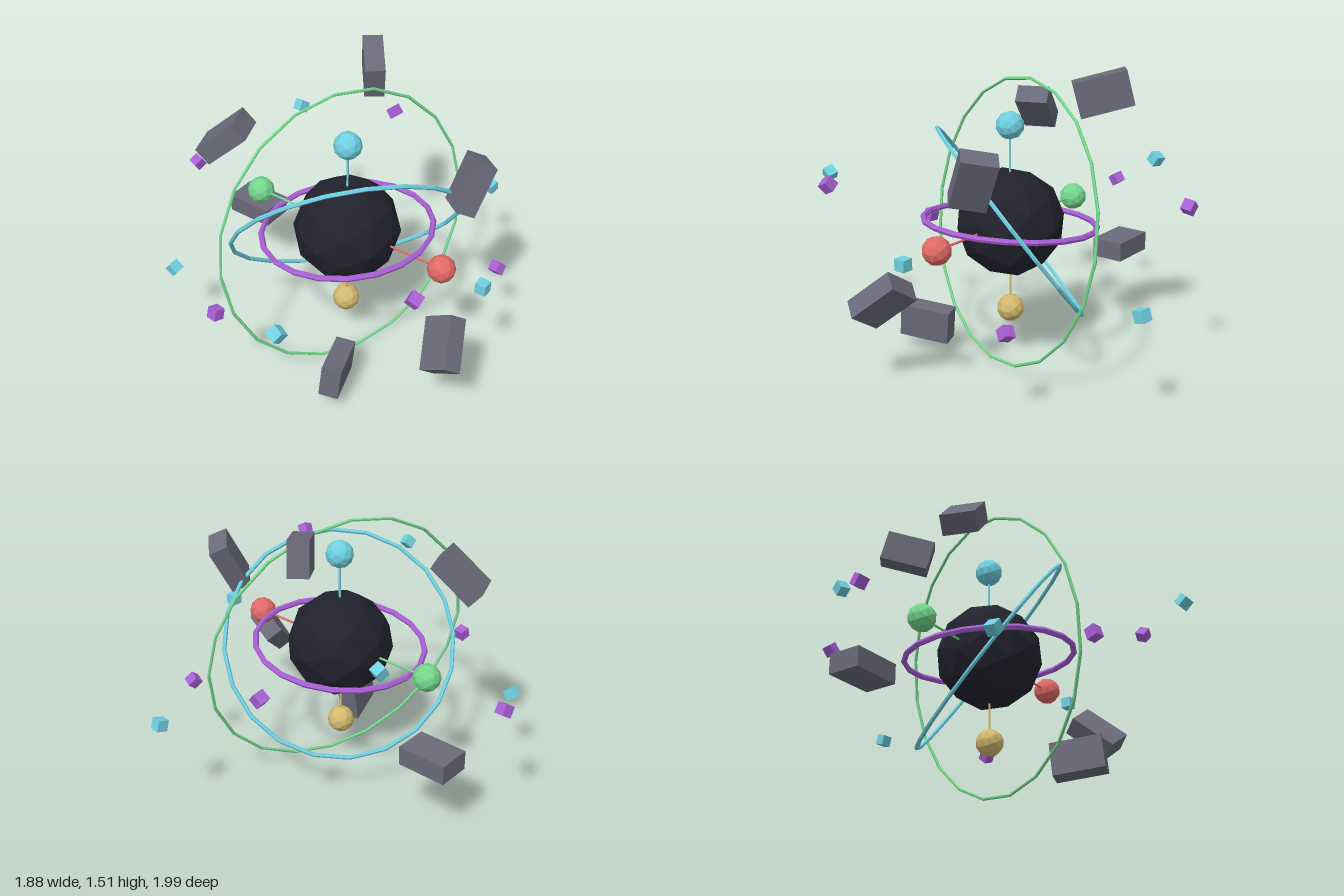
import * as THREE from 'three';

const CENTRE = new THREE.Vector3(0.1, 0.73, 0);
const RED = 0xe06a66, GREEN = 0x74d68c, CYAN = 0x6fd0e0, GOLD = 0xd2b96e;
const PURPLE = 0xa95fd6, SLATE = 0x6a6a7a, DARK = 0x22222e;
const vec = (a) => new THREE.Vector3(...a);

export function createModel() {
  const model = new THREE.Group();
  model.name = 'orbitalModel';

  function add(name, geometry, color, position = CENTRE) {
    const material = new THREE.MeshStandardMaterial({ color, flatShading: true });
    const mesh = new THREE.Mesh(geometry, material);
    mesh.name = name;
    mesh.position.copy(position);
    model.add(mesh);
    return mesh;
  }

  // Faceted core, turned so a facet faces up
  const core = add('core', new THREE.IcosahedronGeometry(0.273, 1), DARK);
  core.rotation.set(0, Math.PI / 2, 0);
  core.rotateX(0.365);

  // Four nodes on thin rods
  const up = new THREE.Vector3(0, 1, 0);
  const nodes = [
    ['right', [1, 0, 0], 0.555, RED],
    ['left', [-1, 0, 0], 0.555, GREEN],
    ['top', [0, 1, 0], 0.49, CYAN],
    ['bottom', [0, -1, 0], 0.462, GOLD],
  ];
  for (const [side, axis, distance, color] of nodes) {
    const dir = vec(axis);
    add(side + 'Node', new THREE.IcosahedronGeometry(0.071, 1), color,
      CENTRE.clone().addScaledVector(dir, distance));
    const rod = add(side + 'Rod', new THREE.CylinderGeometry(0.006, 0.006, distance, 6), color,
      CENTRE.clone().addScaledVector(dir, distance / 2));
    rod.quaternion.setFromUnitVectors(up, dir);
  }

  // Tilted orbit rings: radius, tube, plane normal
  const rings = [
    ['innerRing', 0.435, 0.015, [-0.107, 0.994, 0], PURPLE],
    ['middleRing', 0.591, 0.011, [0.606, -0.59, 0.533], CYAN],
    ['outerRing', 0.719, 0.008, [0.92, 0.165, 0.352], GREEN],
  ];
  for (const [name, radius, tube, normal, color] of rings) {
    const n = vec(normal).normalize();
    const x = up.clone().addScaledVector(n, -n.y).normalize();
    const y = n.clone().cross(x);
    add(name, new THREE.TorusGeometry(radius, tube, 6, 20), color)
      .quaternion.setFromRotationMatrix(new THREE.Matrix4().makeBasis(x, y, n));
  }

  // Drifting slabs: position, direction of the long edge, direction of the middle edge
  const slabs = [
    [[-0.64, 0.447, -0.19], [1, 0, 0], [0, 0, 1]],
    [[-0.053, 1.406, -0.434], [0.59, -0.25, 0.765], [0.15, 0.96, 0.2]],
    [[-0.456, 1.19, 0.243], [0.7, 0.66, -0.27], [0.36, 0, 0.93]],
    [[0.655, 1.1, -0.222], [0.15, 0.89, -0.42], [0.7, 0.2, 0.64]],
    [[0.808, 0.482, 0.212], [0.34, -0.62, 0.71], [0.825, 0.555, 0.09]],
    [[0.313, 0.172, 0.378], [0.33, 0.1, 0.94], [0.05, 1, -0.1]],
  ];
  slabs.forEach(([position, long, middle], i) => {
    const x = vec(long).normalize();
    const y = vec(middle).cross(x).normalize();
    const z = x.clone().cross(y);
    add('slab' + (i + 1), new THREE.BoxGeometry(0.26, 0.1, 0.172), SLATE, vec(position))
      .quaternion.setFromRotationMatrix(new THREE.Matrix4().makeBasis(x, y, z));
  });

  // Ten small cubes circling the core on a wave
  for (let i = 0; i < 10; i++) {
    const angle = (i / 10) * Math.PI * 2;
    const radius = 0.78 + 0.11 * (i % 3);
    const offset = new THREE.Vector3(
      Math.cos(angle) * radius, Math.sin(angle * 2) * 0.277, Math.sin(angle) * radius);
    add('cube' + (i + 1), new THREE.BoxGeometry(0.056, 0.056, 0.056), i % 2 ? PURPLE : CYAN,
      offset.add(CENTRE)).rotation.set(i * 2, i, 0);
  }
  return model;
}
